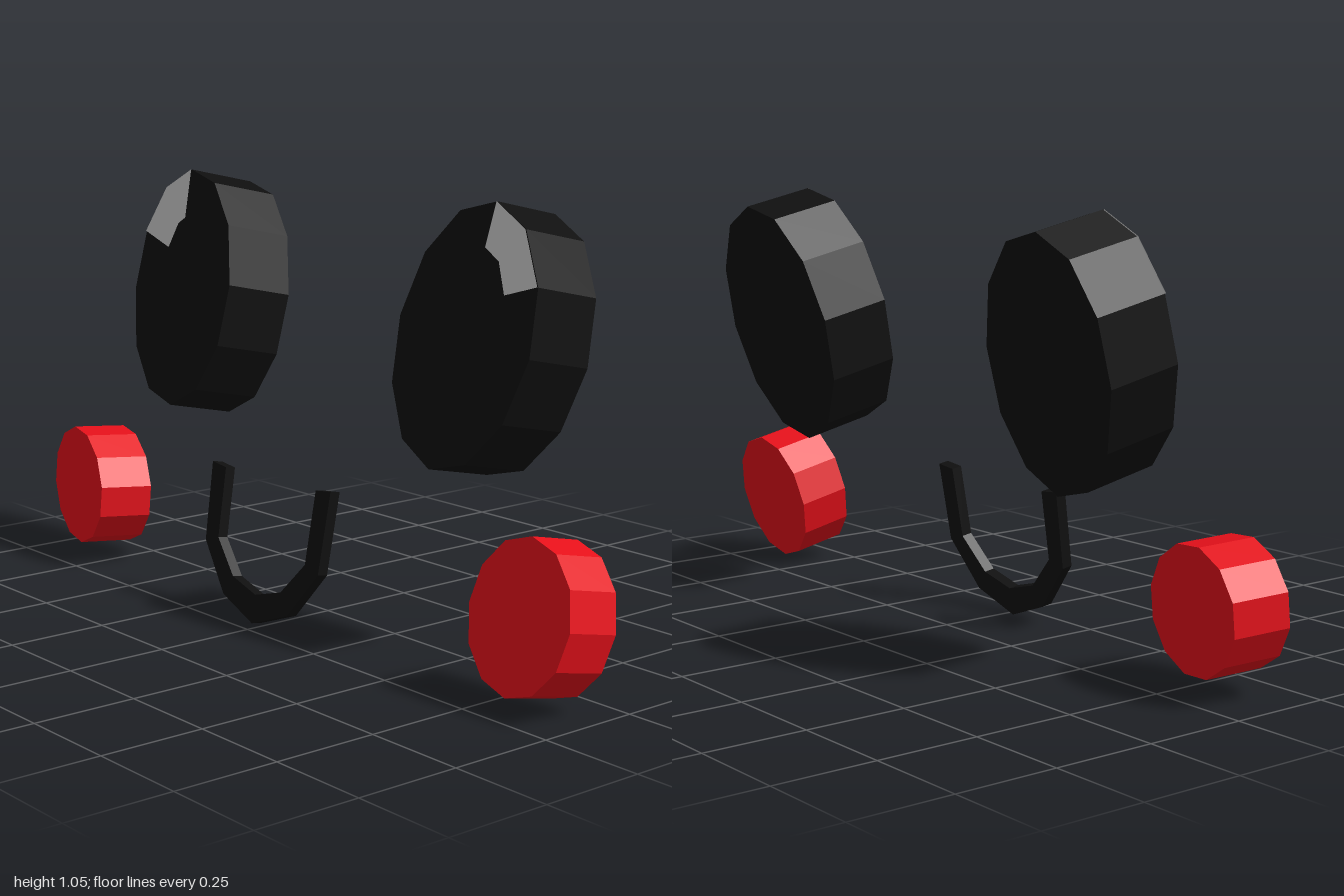
import * as THREE from 'three';

const paint = (color, side = THREE.FrontSide) =>
  new THREE.MeshStandardMaterial({ color, flatShading: true, side });
const black = paint(0x0f0f0f);
const red = paint(0xe5101a);
const grey = paint(0xcccccc, THREE.DoubleSide);
const TILT = -0.215; // discs lean back

const toShape = (points) => new THREE.Shape(points.map(([x, y]) => new THREE.Vector2(x, y)));

// Twelve-sided oval disc: leaned back, then rolled about the front axis
function disc(name, material, rx, ry, depth, position, roll) {
  const group = new THREE.Group();
  group.name = name;
  const geometry = new THREE.CylinderGeometry(1, 1, depth, 12);
  geometry.rotateX(Math.PI / 2).scale(rx, ry, 1);
  const mesh = new THREE.Mesh(geometry, material);
  mesh.name = name + 'Disc';
  group.add(mesh);
  group.position.set(...position);
  group.rotation.set(TILT, 0, roll, 'ZXY');
  return group;
}

// Eye with a highlight on its upper outer corner; side is the sign of x
function eye(name, side, x, inner) {
  const rx = 0.21, ry = 0.307, depth = 0.19;
  const group = disc(name, black, rx, ry, depth, [x, 0.73, -0.06], -side * 0.122);
  const rim = [60, 30, 0].map((deg) => {
    const a = THREE.MathUtils.degToRad(deg);
    return [side * rx * Math.sin(a), ry * Math.cos(a)];
  });
  const patch = [...rim, ...inner.map(([px, py]) => [side * px, py])];
  const highlight = new THREE.Mesh(new THREE.ShapeGeometry(toShape(patch)), grey);
  highlight.name = name + 'Highlight';
  highlight.position.z = depth / 2 + 0.003;
  group.add(highlight);
  return group;
}

export function createModel() {
  const model = new THREE.Group();
  model.name = 'face';

  // Eyes
  model.add(
    eye('rightEye', -1, -0.555, [[0.007, 0.181], [0.035, 0.168], [0.07, 0.106]]),
    eye('leftEye', 1, 0.505, [[0.001, 0.203], [0.052, 0.182], [0.093, 0.115]])
  );

  // Cheeks: the right one is rolled most of a quarter turn
  model.add(
    disc('leftCheek', red, 0.15, 0.173, 0.14, [0.85, 0.198, 0.1175], 0),
    disc('rightCheek', red, 0.15, 0.173, 0.14, [-0.82, 0.194, 0.115], 1.24)
  );

  // Mouth: angular U-shaped band
  const outline = [
    [-0.25, 0.363], [-0.241, 0.168], [-0.145, 0.051], [-0.022, 0.005],
    [0.105, 0.051], [0.198, 0.168], [0.206, 0.367],
    [0.153, 0.361], [0.147, 0.183], [0.071, 0.101], [-0.022, 0.075],
    [-0.116, 0.101], [-0.192, 0.183], [-0.195, 0.357],
  ];
  const mouth = new THREE.Mesh(
    new THREE.ExtrudeGeometry(toShape(outline), { depth: 0.028, bevelEnabled: false }).translate(0, 0, -0.028),
    black
  );
  mouth.name = 'mouth';
  mouth.position.z = 0.221;
  mouth.rotation.x = -0.16;
  model.add(mouth);

  return model;
}
